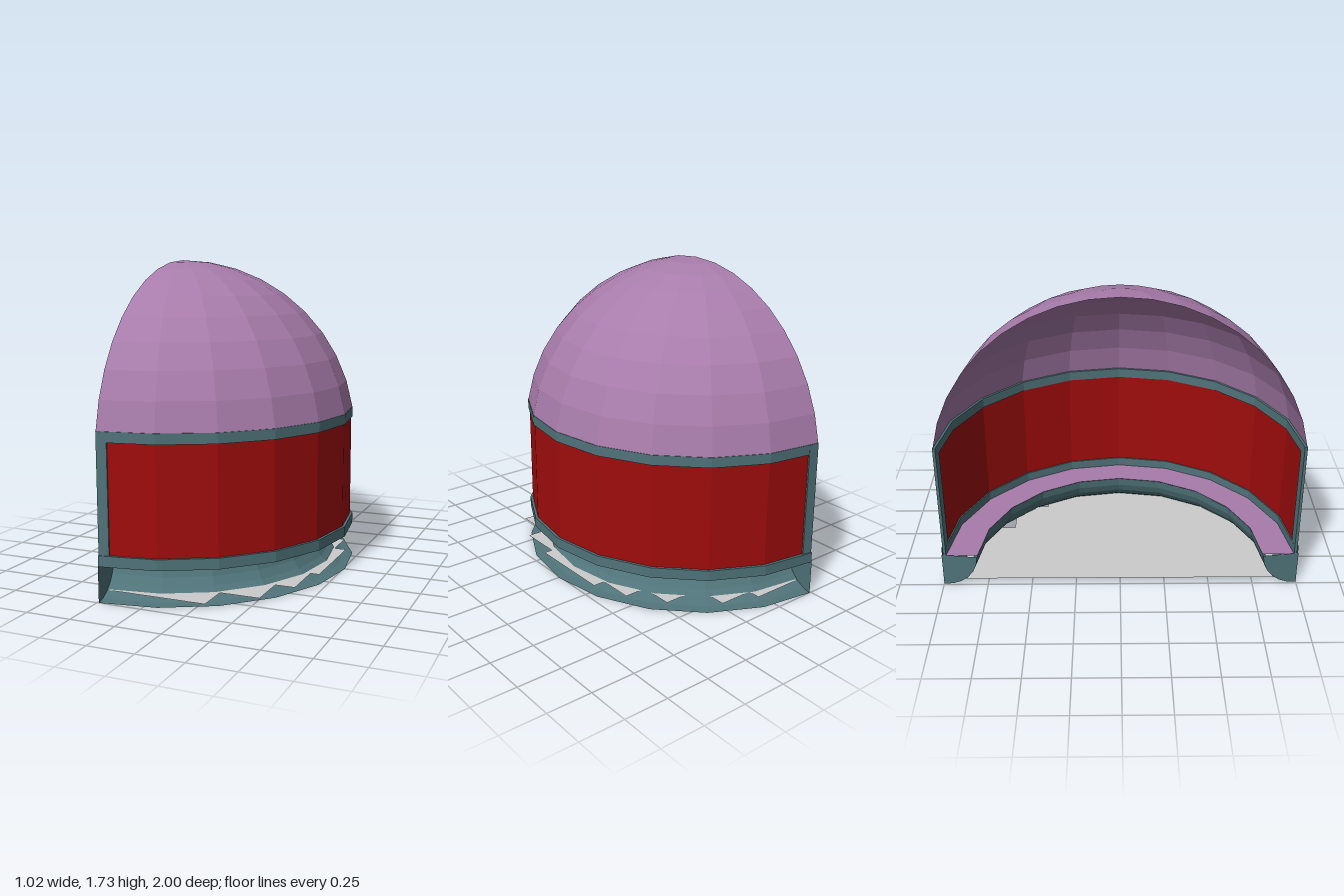
import * as THREE from 'three';

const AXIS_X = -0.49; // the half-round structure opens towards -x
const SEGMENTS = 10;

const material = (color) =>
  new THREE.MeshStandardMaterial({ color, flatShading: true, side: THREE.DoubleSide });

// Half-turn sweep of a [radius, height] profile
function halfLathe(profile) {
  const points = profile.map(([r, y]) => new THREE.Vector2(r, y));
  return new THREE.LatheGeometry(points, SEGMENTS, 0, Math.PI);
}

export function createModel() {
  const model = new THREE.Group();
  const body = new THREE.Group();
  body.name = 'halfDome';
  body.position.x = AXIS_X;
  model.add(body);

  const purple = material(0xa87cab);
  const red = material(0xa00c0c);
  const teal = material(0x4f7379);
  const grey = material(0xcccccc);

  function add(name, geometry, mat, parent = body) {
    const mesh = new THREE.Mesh(geometry, mat);
    mesh.name = name;
    parent.add(mesh);
    return mesh;
  }

  // Dome shell: sphere rings every 9 degrees
  const domeProfile = [];
  for (let i = 1; i <= 10; i++) {
    const a = (i * Math.PI) / 20;
    domeProfile.push([Math.max(Math.cos(a), 0), 0.73 + Math.sin(a)]);
  }
  add('domeShell', halfLathe(domeProfile), purple);

  // Curved window panel
  add('windowPanel', halfLathe([[0.982, 0.22], [0.982, 0.86]]), red);

  // Window frame: two rings and two end posts
  const frame = new THREE.Group();
  frame.name = 'windowFrame';
  body.add(frame);
  const ring = (y0, y1, r0, r1) =>
    halfLathe([[r0, y0], [r1, y0], [r1, y1], [r0, y1], [r0, y0]]);
  add('topRing', ring(0.83, 0.886, 0.975, 0.99), teal, frame);
  add('bottomRing', ring(0.19, 0.248, 0.975, 0.997), teal, frame);
  for (const s of [1, -1]) {
    const post = add('endPost', new THREE.BoxGeometry(0.056, 0.69, 0.016), teal, frame);
    post.position.set(0.027, 0.54, s * 0.979);
    post.rotation.y = s * Math.PI / 20;
  }

  // Ledge under the wall
  add('ledge', halfLathe([[0.8, 0.195], [0.98, 0.195]]), purple);

  // Flared foot: concave quarter round, its ends skewed slightly backwards
  const curve = [];
  for (let i = 0; i <= 6; i++) {
    const a = (i * Math.PI) / 12;
    curve.push([1 - 0.2 * Math.cos(a), 0.2 - 0.2 * Math.sin(a)]);
  }
  const skew = 0.125;
  const flare = halfLathe(curve);
  const pos = flare.attributes.position;
  for (let i = 0; i < pos.count; i++) {
    if (Math.abs(pos.getX(i)) < 1e-5) pos.setX(i, -(1 - Math.abs(pos.getZ(i))) * skew);
  }
  add('flaredFoot', flare, teal);

  // End plates filling the hollow of the flare
  const plateShape = new THREE.Shape([
    ...curve.map(([r, y]) => new THREE.Vector2(r, y)),
    new THREE.Vector2(1, 0.2),
  ]);
  for (const s of [1, -1]) {
    const plate = new THREE.ShapeGeometry(plateShape);
    const p = plate.attributes.position;
    for (let i = 0; i < p.count; i++) {
      const r = p.getX(i);
      p.setXYZ(i, -(1 - r) * skew, p.getY(i), s * r);
    }
    add('endPlate', plate, teal);
  }

  // Thin floor with stepped edges, [x, z] corners
  const steps = [[0, 0.9], [0.55, 0.9], [0.55, 0.72], [0.77, 0.72], [0.77, 0.5],
    [0.88, 0.5], [0.88, 0.25], [0.93, 0.25], [0.93, -0.25], [0.86, -0.25],
    [0.86, -0.45], [0.73, -0.45], [0.73, -0.64], [0.5, -0.64], [0.5, -0.83],
    [0.3, -0.83], [0.3, -0.9], [0, -0.9]];
  const floorShape = new THREE.Shape(steps.map(([x, z]) => new THREE.Vector2(x, -z)));
  const floor = add('floor', new THREE.ShapeGeometry(floorShape), grey);
  floor.rotation.x = -Math.PI / 2;
  floor.position.y = 0.035;

  return model;
}
